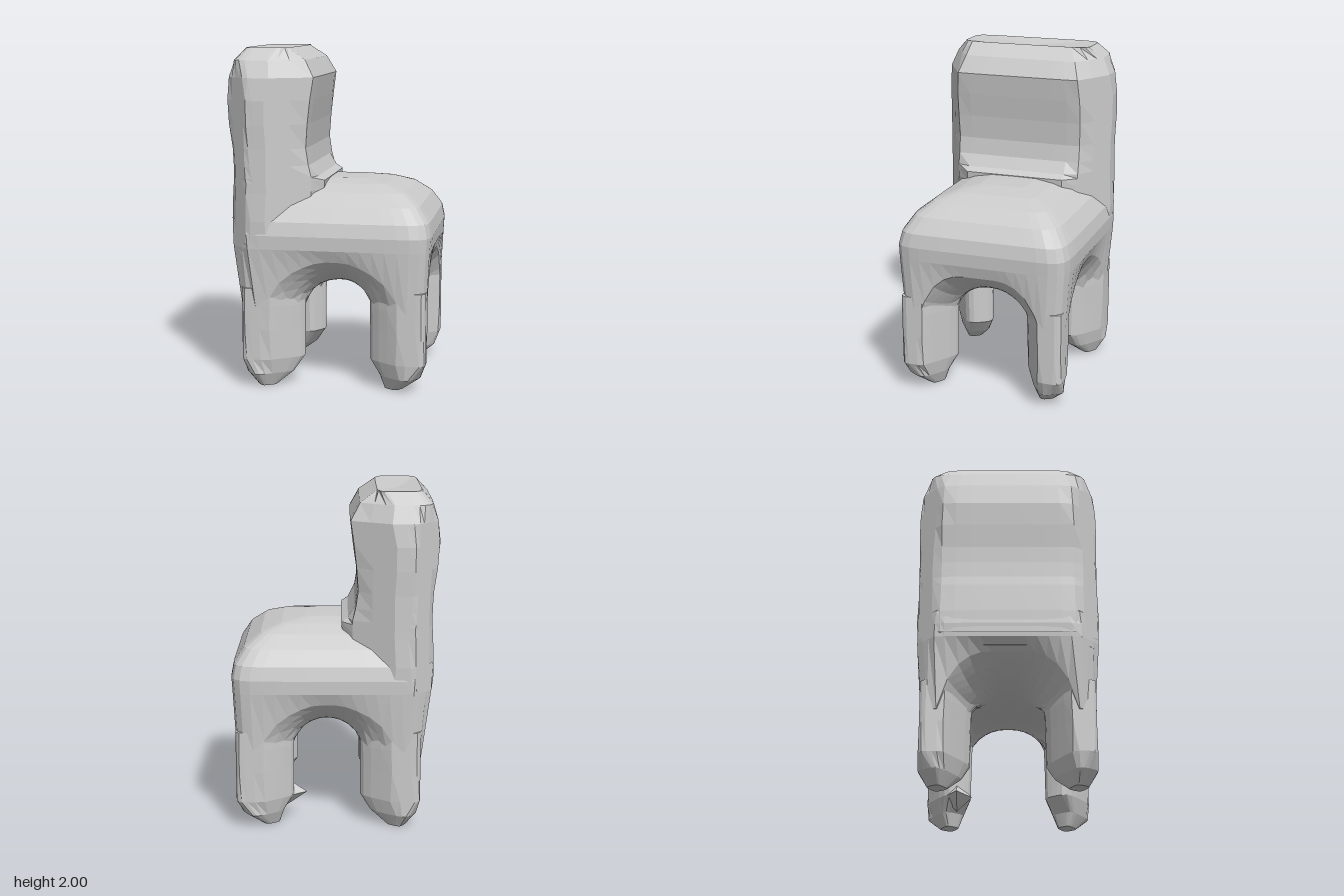
import * as THREE from 'three';

const material = new THREE.MeshStandardMaterial({ color: 0xcccccc, flatShading: true, side: THREE.DoubleSide });

// Each leg is a fin running from its outer corner inward along a diagonal
const LEGS = [
  { name: 'frontLegRight', x: 0.55, z: 0.46, length: 0.33, tip: 0.19 },
  { name: 'frontLegLeft', x: 0.55, z: -0.46, length: 0.33, tip: 0.19 },
  { name: 'backLegRight', x: -0.47, z: 0.46, length: 0.35, tip: 0.12 },
  { name: 'backLegLeft', x: -0.47, z: -0.46, length: 0.35, tip: 0.12 },
].map((leg) => ({ ...leg, dx: -0.84 * Math.sign(leg.x), dz: -0.54 * Math.sign(leg.z) }));

// Straight bevel shared by the rear corners of seat and backrest
function bevelRear(p) {
  const over = Math.max(0, Math.abs(p.z) - p.x - 0.985) / 2;
  p.x += over;
  p.z -= Math.sign(p.z) * over;
}

// Superellipse rings stacked upward. Each section: [y, centreX, centreZ, halfU, halfV].
// 'angle' turns the ring from x towards z; 'limit' may adjust each point.
function loft(name, sections, { sides, power, angle = 0, limit, topY }) {
  const positions = [], index = [];
  const ca = Math.cos(angle), sa = Math.sin(angle);
  const clamp = (t) => Math.max(-1, Math.min(1, t));
  for (const [y, cx, cz, hu, hv] of sections) {
    for (let i = 0; i < sides; i++) {
      // Even steps round a square, pulled in to the superellipse
      const t = ((i + 0.5) / sides) * 8;
      const qu = clamp(Math.abs(t - 4) - 2), qv = clamp(2 - Math.abs(((t + 6) % 8) - 4));
      const norm = Math.pow(Math.abs(qu) ** power + Math.abs(qv) ** power, 1 / power);
      const u = (hu * qu) / norm, v = (hv * qv) / norm;
      const p = new THREE.Vector3(cx + u * ca - v * sa, y, cz + u * sa + v * ca);
      limit(p);
      positions.push(p.x, p.y, p.z);
    }
  }
  const last = (sections.length - 1) * sides;
  for (let s = 0; s < last; s += sides) {
    for (let i = 0; i < sides; i++) {
      const a = s + i, b = s + ((i + 1) % sides);
      index.push(a, a + sides, b, a + sides, b + sides, b);
    }
  }
  // End caps
  const first = sections[0], end = sections[sections.length - 1];
  positions.push(first[1], first[0], first[2], end[1], topY, end[2]);
  const low = last + sides, high = low + 1;
  for (let i = 0; i < sides; i++) {
    const j = (i + 1) % sides;
    index.push(low, i, j, high, last + j, last + i);
  }
  const geometry = new THREE.BufferGeometry();
  geometry.setAttribute('position', new THREE.Float32BufferAttribute(positions, 3));
  geometry.setIndex(index);
  geometry.computeVertexNormals();
  const mesh = new THREE.Mesh(geometry, material);
  mesh.name = name;
  return mesh;
}

// Height of the vaulted underside: arches spring from the legs and rise towards the rim
function undersideHeight(x, z) {
  const rim = Math.min(1, Math.max(Math.abs(x - 0.035) / 0.55, Math.abs(z) / 0.5));
  const crown = 0.6 + 0.17 * rim ** 3;
  let nearest = Infinity;
  for (const leg of LEGS) {
    const along = (x - leg.x) * leg.dx + (z - leg.z) * leg.dz;
    const s = Math.max(0, Math.min(leg.length - 0.1, along));
    nearest = Math.min(nearest, Math.hypot(x - leg.x - leg.dx * s, z - leg.z - leg.dz * s));
  }
  const t = Math.max(0, Math.min(1, (nearest - 0.09) / 0.23));
  return crown - (crown - 0.42) * (1 - Math.sqrt(1 - (1 - t) ** 2));
}

// Seat: vaulted underside rings, side wall, domed top
function createSeat() {
  const sections = [];
  for (let k = 1; k <= 14; k++) sections.push([0.6, 0.035, 0, (0.55 * k) / 14, (0.5 * k) / 14]);
  sections.push(
    [0.84, 0.017, 0, 0.588, 0.528],
    [0.92, 0.015, 0, 0.595, 0.53],
    [1.0, 0.01, 0, 0.585, 0.51],
    [1.09, 0.01, 0, 0.525, 0.45],
    [1.16, 0.01, 0, 0.43, 0.36],
    [1.2, 0.01, 0, 0.31, 0.25],
    [1.22, 0, 0, 0.18, 0.14],
  );
  const limit = (p) => {
    bevelRear(p);
    if (p.y < 0.8) p.y = undersideHeight(p.x, p.z);
  };
  return loft('seat', sections, { sides: 64, power: 11, limit, topY: 1.222 });
}

// Backrest rows: [y, rear x, front x, half depth in z]
function createBackrest() {
  const rows = [
    [0.8, -0.54, -0.15, 0.5],
    [0.87, -0.577, -0.1, 0.525],
    [1.0, -0.58, -0.08, 0.53],
    [1.17, -0.575, -0.04, 0.525],
    [1.225, -0.57, -0.035, 0.525],
    [1.25, -0.57, -0.075, 0.525],
    [1.32, -0.57, -0.115, 0.525],
    [1.42, -0.575, -0.13, 0.525],
    [1.56, -0.595, -0.12, 0.53],
    [1.7, -0.61, -0.1, 0.53],
    [1.83, -0.595, -0.085, 0.515],
    [1.93, -0.565, -0.14, 0.47],
    [2.0, -0.5, -0.24, 0.4],
  ];
  const sections = rows.map(([y, x0, x1, z]) => [y, (x0 + x1) / 2, 0, (x1 - x0) / 2, z]);
  // Broad bevel on the seat-facing edges, closing in near the top
  const limit = (p) => {
    p.x = Math.min(p.x, 0.567 - Math.max(0, p.y - 1.83) * 0.9 - 1.73 * Math.abs(p.z));
    bevelRear(p);
  };
  return loft('backrest', sections, { sides: 48, power: 7, limit, topY: 1.975 });
}

// Leg rows: [y, start inset from the corner, end inset, half thickness]
function createLeg({ name, x, z, length, tip, dx, dz }) {
  const rows = [
    [0, tip - 0.05, tip + 0.05, 0.045],
    [0.08, tip * 0.3 - 0.03, length - 0.07, 0.08],
    [0.17, -0.07, length, 0.1],
    [0.35, -0.09, length, 0.105],
    [0.49, -0.09, length, 0.11],
    [0.6, -0.09, length, 0.11],
  ];
  const sections = rows.map(([y, start, end, w]) => {
    const m = (start + end) / 2;
    return [y, x + dx * m, z + dz * m, (end - start) / 2, w];
  });
  // Keep the outer faces flush with the seat sides, with a bevelled corner
  const sx = Math.sign(x), sz = Math.sign(z);
  const maxX = Math.abs(x) + 0.035, maxZ = Math.abs(z) + 0.04;
  const limit = (p) => {
    const px = Math.min(p.x * sx, maxX), pz = Math.min(p.z * sz, maxZ);
    const over = Math.max(0, px + pz - (maxX + maxZ - 0.025)) / 2;
    p.x = (px - over) * sx;
    p.z = (pz - over) * sz;
  };
  return loft(name, sections, { sides: 24, power: 4, angle: Math.atan2(dz, dx), limit, topY: 0.6 });
}

export function createModel() {
  const group = new THREE.Group();
  group.name = 'chair';
  group.add(createSeat(), createBackrest(), ...LEGS.map(createLeg));

  // Small pointed nub on the inside of one front leg
  const nub = new THREE.Mesh(new THREE.ConeGeometry(0.09, 0.13, 4), material);
  nub.name = 'legNub';
  nub.rotation.z = Math.PI / 2;
  nub.position.set(0.235, 0.17, -0.31);
  group.add(nub);
  return group;
}
